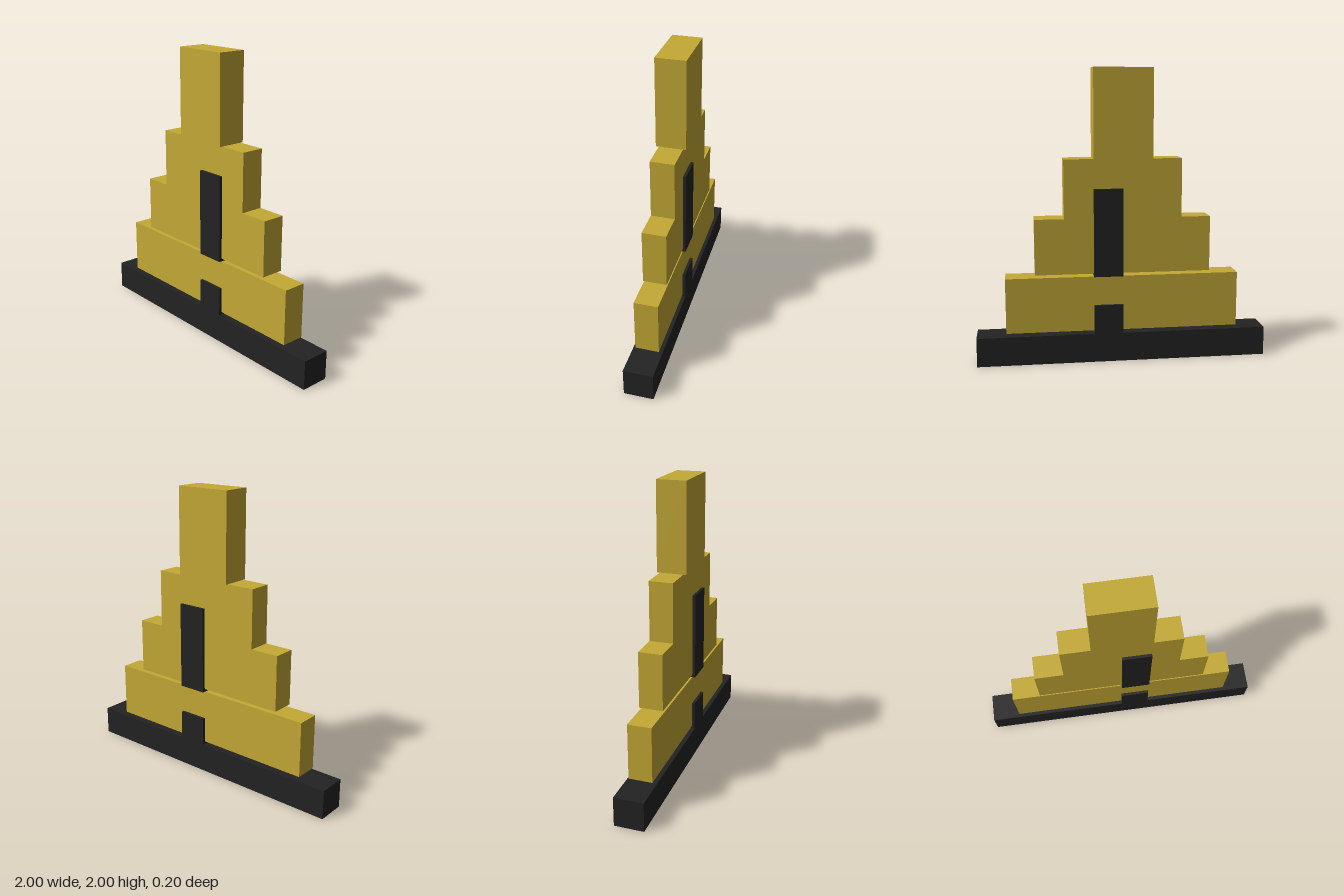
import * as THREE from 'three';

export function createModel() {
  const model = new THREE.Group();
  const gold = new THREE.MeshStandardMaterial({ color: 0xc4a935 });
  gold.name = 'gold';
  const black = new THREE.MeshStandardMaterial({ color: 0x232323, side: THREE.DoubleSide });
  black.name = 'black';

  function add(name, geometry, material) {
    const mesh = new THREE.Mesh(geometry, material);
    mesh.name = name;
    model.add(mesh);
    return mesh;
  }

  // Box given by its x and y limits, centred on z = 0
  function block(name, x0, x1, y0, y1, depth, material) {
    const geometry = new THREE.BoxGeometry(x1 - x0, y1 - y0, depth);
    geometry.translate((x0 + x1) / 2, (y0 + y1) / 2, 0);
    return add(name, geometry, material);
  }

  // Base: a hollow shell, open underneath (the -y face is left out)
  const base = block('base', -1, 1, 0, 0.2, 0.2, black);
  const index = Array.from(base.geometry.index.array);
  index.splice(18, 6);
  base.geometry.setIndex(index);
  base.geometry.clearGroups();

  // Lower tier, floating just above the base
  block('lowerTier', -0.8, 0.8, 0.22, 0.6, 0.16, gold);

  // Stepped middle tier, mirrored about x = 0
  const half = [[0.6, 0.62], [0.6, 1], [0.4, 1], [0.4, 1.4]];
  const outline = [...half, ...half.map(([x, y]) => [-x, y]).reverse()];
  const shape = new THREE.Shape(outline.map(([x, y]) => new THREE.Vector2(x, y)));
  const middle = new THREE.ExtrudeGeometry(shape, { depth: 0.16, bevelEnabled: false });
  middle.translate(0, 0, -0.08);
  add('middleTier', middle, gold);

  // Top block, slightly deeper than the tiers
  block('topBlock', -0.2, 0.2, 1.4, 2, 0.2, gold);

  // Dark posts standing proud of both faces
  block('lowerPost', 0, 0.2, 0.2, 0.4, 0.2, black);
  block('upperPost', 0, 0.2, 0.6, 1.2, 0.2, black);

  return model;
}
